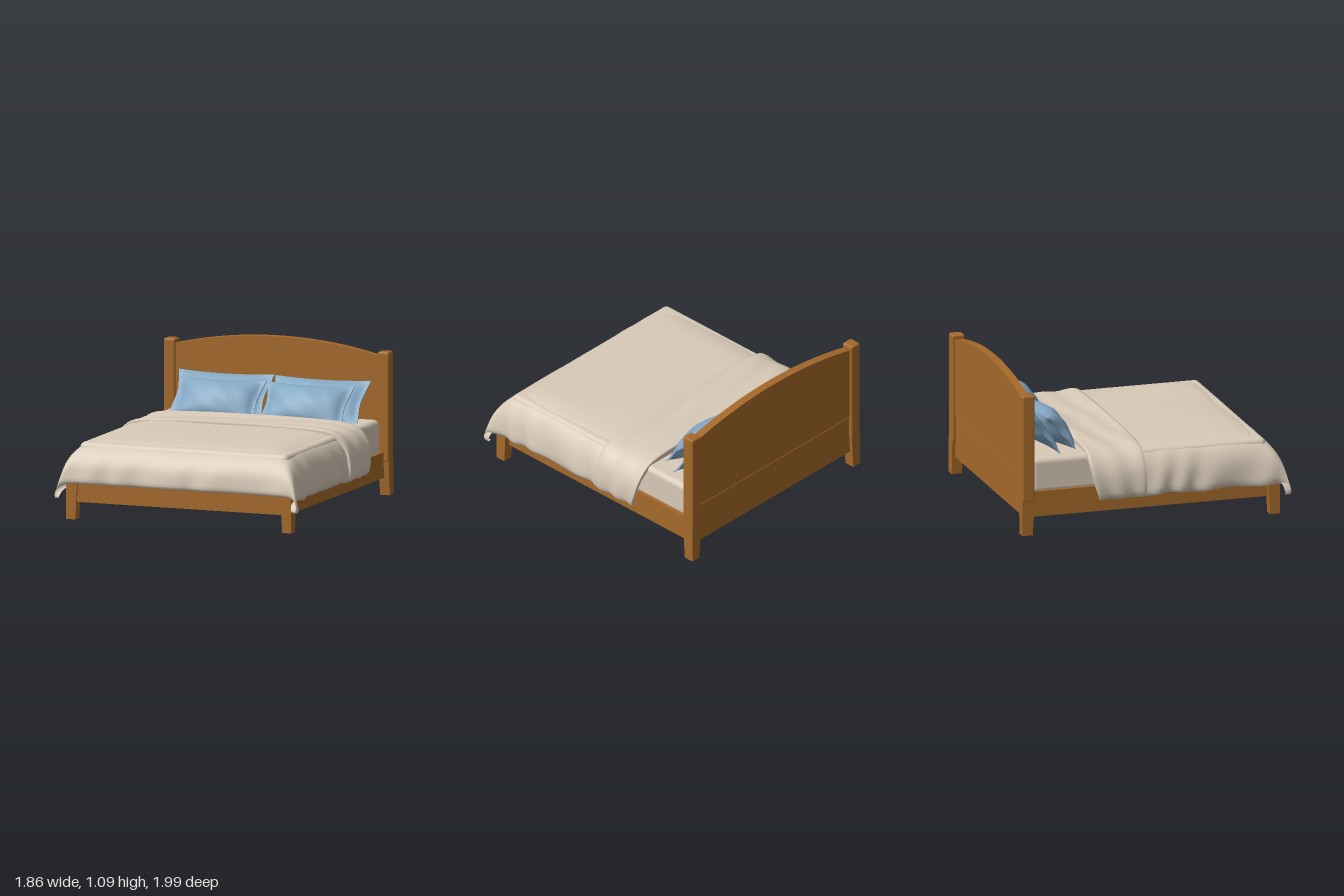
import * as THREE from 'three';
import { RoundedBoxGeometry } from 'three/addons/geometries/RoundedBoxGeometry.js';

const wood = new THREE.MeshStandardMaterial({ color: 0xa5692a });
wood.name = 'wood';
const linen = new THREE.MeshStandardMaterial({ color: 0xd8cab8, side: THREE.DoubleSide });
linen.name = 'linen';
const blue = new THREE.MeshStandardMaterial({ color: 0x84a8c4 });
blue.name = 'blueCotton';

export function createModel() {
  const bed = new THREE.Group();
  bed.name = 'bed';

  const add = (name, geometry, material, x = 0, y = 0, z = 0) => {
    const mesh = new THREE.Mesh(geometry, material);
    mesh.name = name;
    mesh.position.set(x, y, z);
    bed.add(mesh);
    return mesh;
  };
  const box = (name, w, h, d, x, y, z) => add(name, new THREE.BoxGeometry(w, h, d), wood, x, y, z);

  // Grid of points fn(i, j): i runs along x, j along z, faces point up
  const sheet = (nu, nv, fn) => {
    const pos = [], index = [];
    for (let i = 0; i <= nu; i++) for (let j = 0; j <= nv; j++) pos.push(...fn(i, j));
    for (let i = 0; i < nu; i++) for (let j = 0; j < nv; j++) {
      const a = i * (nv + 1) + j, b = a + nv + 1;
      index.push(a, a + 1, b, b, a + 1, b + 1);
    }
    const g = new THREE.BufferGeometry();
    g.setAttribute('position', new THREE.Float32BufferAttribute(pos, 3));
    g.setIndex(index);
    g.computeVertexNormals();
    return g;
  };
  // Evenly spaced points of a drape profile (distance, drop); the drop never goes below zero
  const drape = (pts, n) =>
    new THREE.SplineCurve(pts.map(p => new THREE.Vector2(...p))).getSpacedPoints(n)
      .map(p => ({ x: p.x, y: Math.max(0, p.y) }));

  // Leg that narrows downward on its two inner faces
  const leg = (name, side, zDir, h, w, d, zOuter) => {
    const g = new THREE.BoxGeometry(w, h, d);
    const p = g.attributes.position;
    for (let i = 0; i < p.count; i++) {
      if (p.getY(i) > 0) continue;
      if (p.getX(i) * side < 0) p.setX(i, p.getX(i) + side * 0.016);
      if (p.getZ(i) * zDir < 0) p.setZ(i, p.getZ(i) + zDir * 0.016);
    }
    g.computeVertexNormals();
    add(name, g, wood, side * (0.863 - w / 2), h / 2, zOuter - zDir * d / 2);
  };

  // Posts and legs
  for (const s of [1, -1]) {
    const label = s > 0 ? 'left' : 'right';
    leg(label + 'RearLeg', s, -1, 0.26, 0.086, 0.092, -1);
    add(label + 'Post', new RoundedBoxGeometry(0.088, 0.79, 0.094, 3, 0.014), wood,
      s * 0.82, 0.635, -0.953);
    leg(label + 'FrontLeg', s, 1, 0.31, 0.086, 0.09, 0.92);
    box(label + 'SideRail', 0.03, 0.185, 1.77, s * 0.809, 0.2175, -0.03);
  }

  // Front rail and closed base
  box('frontRail', 1.57, 0.185, 0.04, 0, 0.2175, 0.885);
  box('base', 1.6, 0.15, 1.79, 0, 0.205, -0.025);

  // Arched headboard over a lower panel
  const arch = new THREE.Shape();
  arch.moveTo(-0.785, 0.43);
  arch.lineTo(0.785, 0.43);
  arch.lineTo(0.785, 0.995);
  arch.quadraticCurveTo(0.4, 1.09, 0, 1.09);
  arch.quadraticCurveTo(-0.4, 1.09, -0.785, 0.995);
  arch.closePath();
  add('headboard', new THREE.ExtrudeGeometry(arch, { depth: 0.06, bevelEnabled: false, curveSegments: 14 }),
    wood, 0, 0, -0.98);
  box('lowerHeadboard', 1.57, 0.295, 0.052, 0, 0.2725, -0.948);

  // Mattress
  add('mattress', new RoundedBoxGeometry(1.6, 0.26, 1.75, 4, 0.04), linen, 0, 0.415, -0.035);

  // Duvet: side and foot drops blended so that the corners hang lower
  const H = 40, N = 64, top = 0.577;
  const sideDrop = drape([[0, 0], [0.5, 0.002], [0.7, 0.02], [0.8, 0.06], [0.86, 0.15],
    [0.885, 0.26], [0.885, 0.345], [0.85, 0.35]], H);
  const footDrop = drape([[-0.14, 0], [0.4, 0.004], [0.62, 0.012], [0.77, 0.03], [0.865, 0.08],
    [0.925, 0.17], [0.945, 0.27], [0.94, 0.312], [0.9, 0.318]], N);
  add('duvet', sheet(2 * H, N, (i, j) => {
    const s = Math.sign(i - H), a = sideDrop[Math.abs(i - H)], b = footDrop[j];
    const fx = a.y / 0.35, fz = b.y / 0.318, flare = fx * fz;
    const drop = Math.pow(a.y ** 2.8 + b.y ** 2.8, 1 / 2.8);
    const foldX = 0.012 * fx * Math.sin(b.x * 24 + 2 * Math.sin(b.x * 7 + s) + a.y * 9);
    const foldZ = 0.008 * fz * Math.sin(s * a.x * 17 + 2 * Math.sin(a.x * 6) + b.y * 8);
    const ripple = 0.003 * Math.sin(s * a.x * 7 + b.x * 5) * (1 - fx) * (1 - fz);
    return [
      s * (a.x + 0.045 * flare + foldX * (1 - fz)),
      top - drop + ripple + 0.006 * fx * Math.sin(b.x * 15),
      b.x + 0.045 * flare + foldZ * (1 - fx * 0.6),
    ];
  }), linen);

  // Folded cuff across the head end, with its edges tucked in
  const cuffDrop = drape([[0, 0], [0.5, 0.003], [0.72, 0.02], [0.82, 0.06], [0.885, 0.15],
    [0.908, 0.26], [0.902, 0.365], [0.86, 0.37]], H);
  const M = 24;
  add('duvetFold', sheet(2 * H, M, (i, j) => {
    const s = Math.sign(i - H), a = cuffDrop[Math.abs(i - H)], hang = a.y / 0.37;
    const t = Math.min(1, Math.max(0, (j - 2) / (M - 4)));
    const tuck = [1, 0.3, 0.07][Math.min(j, M - j)] ?? 0;
    const zBack = -0.5 + 0.07 * hang * hang;
    const z = zBack + (-0.09 - zBack) * t;
    const fold = Math.sin(t * 13 + s * a.x * 4 + Math.sin(a.x * 5));
    return [
      s * a.x * (1 - 0.04 * tuck * hang) + s * 0.008 * hang * fold,
      0.597 - a.y - 0.012 * Math.sin(Math.PI * t) * (1 - hang) + 0.004 * fold * (1 - hang)
        - 0.05 * tuck * (1 - hang),
      z,
    ];
  }), linen);

  // Plump pillow with a thin flange and drawn-out corners
  const pillowGeometry = (hw, hh, thick) => {
    const g = new THREE.BoxGeometry(2, 2, 2, 36, 24, 1);
    const p = g.attributes.position;
    for (let i = 0; i < p.count; i++) {
      const u = p.getX(i), v = p.getY(i), side = Math.sign(p.getZ(i));
      const bulge = Math.max(0, 1 - (u / 0.9) ** 2) * Math.max(0, 1 - (v / 0.95) ** 2);
      const crease = 0.004 * bulge * Math.sin(u * 9 + v * 4);
      p.setXYZ(i,
        u * hw * (1 - 0.07 * (1 - v * v) + 0.02 * v),
        v * hh * (1 - 0.06 * (1 - u * u)),
        side * (0.004 + thick * Math.pow(bulge, 0.55) + crease)
          + 0.006 * Math.sin(v * 5 + u * 2) * (1 - bulge));
    }
    g.computeVertexNormals();
    return g;
  };
  const frontPillow = pillowGeometry(0.325, 0.17, 0.088);
  const backPillow = pillowGeometry(0.36, 0.178, 0.062);
  for (const s of [1, -1]) {
    const label = s > 0 ? 'left' : 'right';
    add(label + 'FrontPillow', frontPillow, blue, s * 0.338, 0.663, -0.635).rotation.x = -0.7;
    add(label + 'BackPillow', backPillow, blue, s * 0.37, 0.678, -0.78).rotation.x = -0.68;
  }

  return bed;
}
